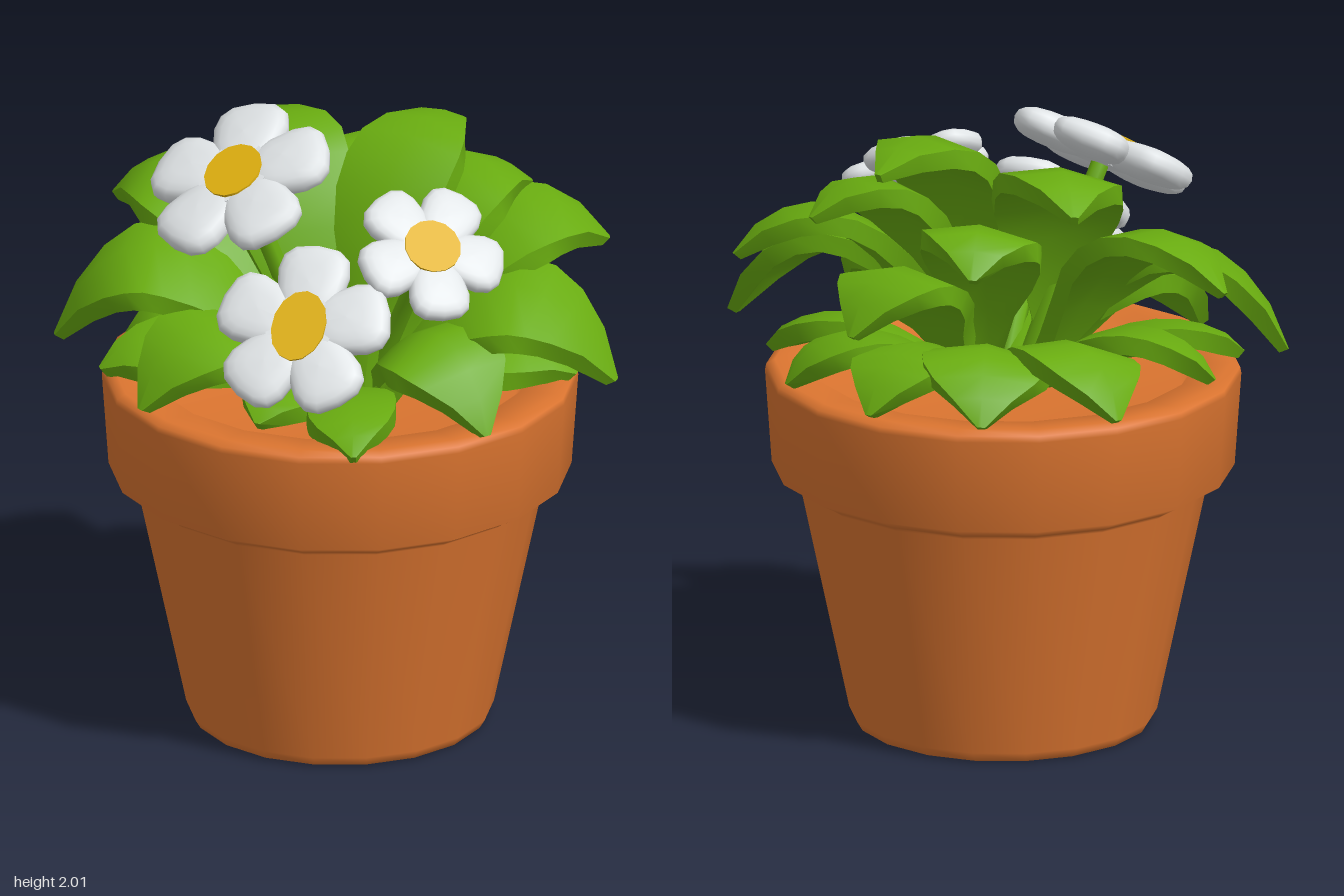
import * as THREE from 'three';
import { toCreasedNormals } from 'three/addons/utils/BufferGeometryUtils.js';

const mat = (name, color) => {
  const m = new THREE.MeshStandardMaterial({ color });
  m.name = name;
  return m;
};

const V = (x, y, z) => new THREE.Vector3(x, y, z);

// Thick, arched leaf swept along a curve that rises and then droops to a point
function leafGeometry(base, mid, tip, halfWidth) {
  const curve = new THREE.QuadraticBezierCurve3(base, mid, tip);
  const widths = [0.15, 0.22, 0.46, 0.8, 0.97, 1, 0.96, 0.79, 0.46, 0.06];
  const dir = V(tip.x - base.x, 0, tip.z - base.z).normalize();
  const side = dir.clone().cross(V(0, 1, 0));
  const pos = [], index = [], last = widths.length - 1;
  widths.forEach((k, i) => {
    const u = i / last, p = curve.getPoint(u), n = side.clone().cross(curve.getTangent(u));
    const w = k * halfWidth, e = i === last ? 0.016 : 0.031, d = w * 0.2;
    const roll = w * 0.3 * side.z; // the edge nearer the front hangs lower
    const loop = [
      [-w, e - d + roll], [0, e], [w, e - d - roll],
      [w, -e - d - roll], [0, -e], [-w, -e - d + roll],
    ];
    for (const [s, h] of loop) pos.push(...p.clone().addScaledVector(side, s).addScaledVector(n, h));
    if (i === last) return;
    for (let j = 0; j < 6; j++) {
      const a = i * 6 + j, b = i * 6 + (j + 1) % 6;
      index.push(a, b, b + 6, a, b + 6, a + 6);
    }
  });
  const tipRow = last * 6;
  for (let j = 1; j < 5; j++) index.push(tipRow, tipRow + j, tipRow + j + 1);
  const g = new THREE.BufferGeometry();
  g.setAttribute('position', new THREE.Float32BufferAttribute(pos, 3));
  g.setIndex(index);
  return toCreasedNormals(g, 0.8);
}

// Plump, squarish petal lying along +x, wider at its outer end
function petalGeometry() {
  const g = new THREE.SphereGeometry(1, 14, 10);
  const p = g.attributes.position;
  const puff = (v) => Math.sign(v) * Math.abs(v) ** 0.75;
  for (let i = 0; i < p.count; i++) {
    const x = puff(p.getX(i)), y = puff(p.getY(i)), z = puff(p.getZ(i));
    p.setXYZ(i, 0.163 + x * 0.142, y * 0.052, z * 0.119 * (1 + 0.2 * x));
  }
  g.computeVertexNormals();
  return g;
}

export function createModel() {
  const root = new THREE.Group();
  root.name = 'pottedFlowers';
  const terracotta = mat('terracotta', 0xdc7530);
  const green = mat('leafGreen', 0x69ac10);
  const white = mat('petalWhite', 0xe1e5e7);
  const yellow = mat('centerYellow', 0xdfb010);

  const add = (parent, name, geometry, material) => {
    const m = new THREE.Mesh(geometry, material);
    m.name = name;
    parent.add(m);
    return m;
  };

  // Pot: tapered body, heavy collar and shallow inside, softly shaded
  const profile = [
    [0, 0], [0.45, 0], [0.465, 0.006], [0.482, 0.035], [0.642, 0.79], [0.66, 0.805], [0.725, 0.84],
    [0.746, 1.14], [0.742, 1.16], [0.715, 1.175], [0.6, 1.165], [0.56, 1.1], [0, 1.09],
  ].map(([r, y]) => new THREE.Vector2(r, y));
  const pot = add(root, 'pot', new THREE.LatheGeometry(profile, 18, Math.PI / 18), terracotta);
  pot.position.x = -0.025;

  // Leaves: tip x, y, z, bend height, half width, plan position of the bend, base x, z
  const leaves = [
    // low outer ring
    [-0.72, 1.18, 0.02, 1.48, 0.17, 0.65], [-0.59, 1.18, -0.47, 1.55, 0.2, 0.68],
    [-0.22, 1.18, -0.69, 1.55, 0.2, 0.68], [0.15, 1.18, -0.7, 1.52, 0.18, 0.68],
    [0.5, 1.18, -0.5, 1.48, 0.18, 0.68], [0.7, 1.18, -0.15, 1.42, 0.15, 0.62],
    [0.6, 1.17, 0.39, 1.68, 0.18, 0.64], [0.27, 1.16, 0.69, 1.35, 0.14, 0.6],
    [-0.08, 1.19, 0.6, 1.35, 0.14, 0.6], [-0.47, 1.18, 0.58, 1.66, 0.18, 0.65],
    [-0.7, 1.18, 0.32, 1.4, 0.14, 0.6],
    // broad side leaves
    [-0.88, 1.24, 0.23, 1.92, 0.18, 0.6, -0.1, 0.13], [0.88, 1.24, -0.01, 1.87, 0.19, 0.6, 0.12, 0.15],
    [-0.85, 1.55, -0.22, 1.97, 0.18, 0.54, -0.1, 0.06], [0.72, 1.55, -0.39, 1.95, 0.18, 0.54, 0.1, 0.08],
    // middle tier at the back
    [0.22, 1.42, -0.67, 1.85, 0.21, 0.6],
    [-0.16, 1.63, -0.61, 1.99, 0.19, 0.5], [0.46, 1.7, -0.4, 2.02, 0.17, 0.36, 0.12, 0.1],
    // tall crown
    [0.23, 1.87, -0.42, 2.14, 0.185, 0.14, 0.09, 0.16],
    [-0.42, 1.8, -0.4, 2.1, 0.2, 0.18, -0.12, 0.12],
  ];
  const foliage = new THREE.Group();
  foliage.name = 'foliage';
  root.add(foliage);
  for (const [x, y, z, bend, w, plan, bx = x * 0.12, bz = z * 0.12] of leaves) {
    const base = V(bx, 1.08, bz);
    const tip = V(x, y, z);
    const mid = base.clone().lerp(tip, plan).setY(bend);
    add(foliage, 'leaf', leafGeometry(base, mid, tip, w), green);
  }

  // Flowers: centre, facing direction, scale, spin, half width and half length of the yellow
  const petal = petalGeometry();
  const core = new THREE.CylinderGeometry(0.12, 0.09, 0.088, 12);
  const disc = new THREE.CylinderGeometry(1, 1, 0.009, 14);
  const flowers = [
    [V(-0.29, 1.835, 0.2), V(-0.2, 0.85, 0.48), 1, 0.06, 0.095, 0.105],
    [V(0.045, 1.505, 0.54), V(0.02, 0.68, 0.73), 0.94, 0.05, 0.093, 0.125],
    [V(0.36, 1.7, 0.24), V(0.43, 0.77, 0.47), 0.79, 0, 0.115, 0.118],
  ];
  for (const [center, facing, scale, spin, discX, discZ] of flowers) {
    const flower = new THREE.Group();
    flower.name = 'flower';
    flower.position.copy(center);
    flower.quaternion.setFromUnitVectors(V(0, 1, 0), facing.normalize());
    flower.scale.setScalar(scale);
    for (let i = 0; i < 5; i++) {
      add(flower, 'petal', petal, white).rotation.y = Math.PI / 2 + spin + (i * Math.PI * 2) / 5;
    }
    add(flower, 'flowerCore', core, white);
    const middle = add(flower, 'flowerCenter', disc, yellow);
    middle.position.y = 0.0505;
    middle.scale.set(discX, 1, discZ);
    root.add(flower);

    // Stem bending up to the back of the flower
    const stem = new THREE.QuadraticBezierCurve3(
      V(center.x * 0.2, 1.08, center.z * 0.2),
      center.clone().addScaledVector(facing, -0.3),
      center.clone().addScaledVector(facing, -0.015));
    add(root, 'stem', new THREE.TubeGeometry(stem, 8, 0.03, 7), green);
  }
  return root;
}
